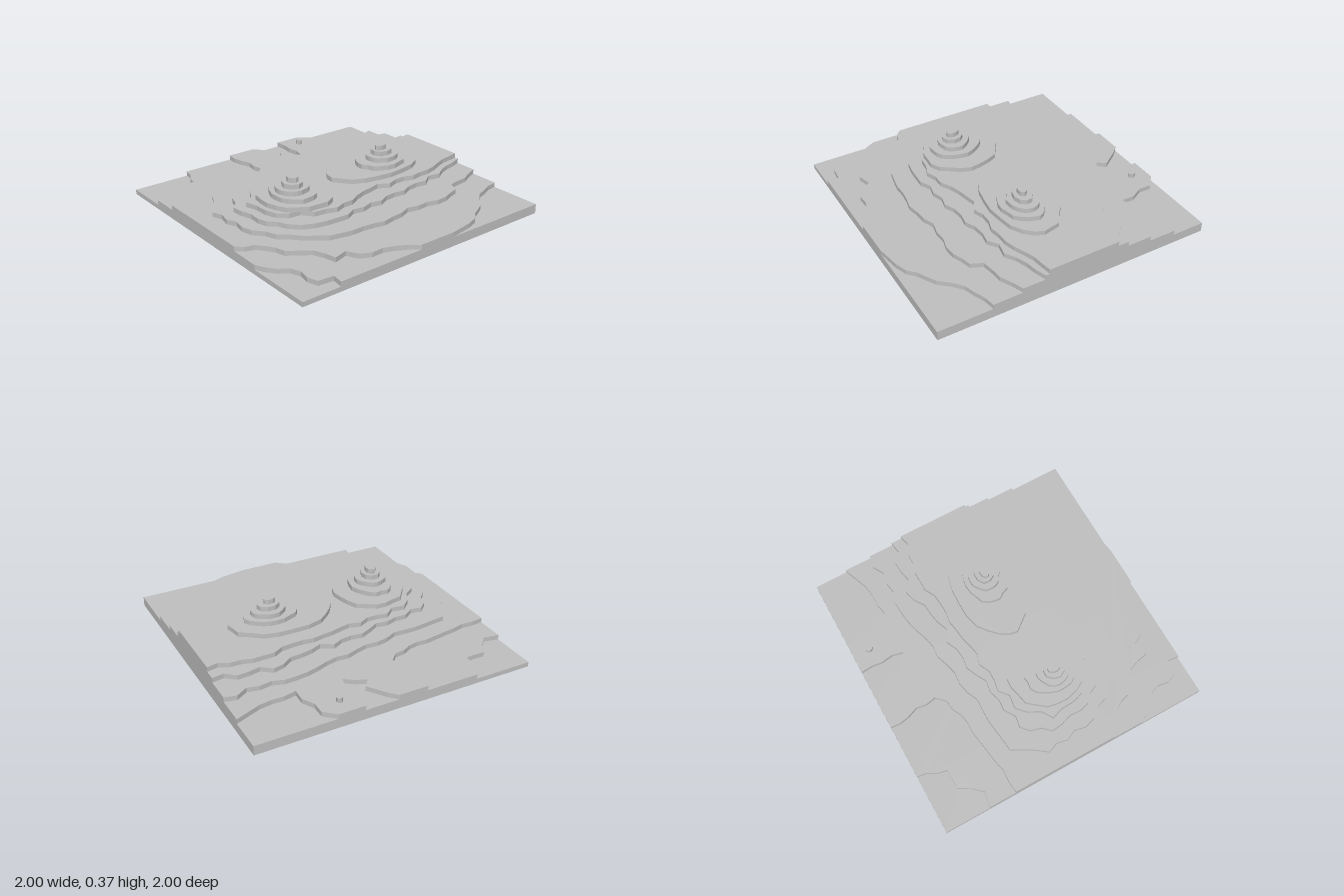
import * as THREE from 'three';

const STEP = 0.0336; // height of one terrace

// Small seeded generator, -1 to 1, for the ragged contour edges
let seed = 7;
function wobble() {
  seed = (seed * 16807) % 2147483647;
  return (seed / 2147483647) * 2 - 1;
}

const clamp = (v) => Math.max(-1, Math.min(1, v));

// Breaks the inland sides of an outline into ragged pieces; sides on the rim stay straight
function ragged(points, amount) {
  const result = [];
  points.forEach(([x, z], i) => {
    const [nx, nz] = points[(i + 1) % points.length];
    const length = Math.hypot(nx - x, nz - z);
    const onRim = (x === nx && Math.abs(x) === 1) || (z === nz && Math.abs(z) === 1);
    const pieces = onRim ? 1 : Math.max(1, Math.round(length / 0.08));
    result.push([x, z]);
    for (let k = 1; k < pieces; k++) {
      const t = k / pieces;
      const push = (wobble() * amount) / length;
      result.push([clamp(x + (nx - x) * t - (nz - z) * push), clamp(z + (nz - z) * t + (nx - x) * push)]);
    }
  });
  return result;
}

// Plain: a freely drawn outline
function plain(pairs) {
  return ragged(pairs, 0.02);
}

// Ridge: evenly spaced rows from the back rim to lastRow, closed by a blunt end
function ridge(lastRow, end, left, right) {
  const z = (i) => -1 + (i * (lastRow + 1)) / (left.length - 1);
  const l = left.at(-1);
  const width = right.at(-1) - l;
  return ragged([
    ...right.map((x, i) => [x, z(i)]),
    [l + width * 0.7, end - 0.03], [l + width * 0.3, end],
    ...left.map((x, i) => [x, z(i)]).reverse(),
  ], 0.03);
}

// Knoll: a slightly uneven oval
function knoll(cx, cz, rx, rz) {
  const count = rx > 0.1 ? 22 : 9;
  return Array.from({ length: count }, (_, i) => {
    const angle = (i / count) * Math.PI * 2;
    const r = 1 + wobble() * 0.05;
    return [cx + Math.cos(angle) * rx * r, cz + Math.sin(angle) * rz * r];
  });
}

// Each terrace, from the ground up
const terraces = {
  baseSlab: [plain([[-1, -1], [1, -1], [1, 1], [-1, 1]])],
  lowlandTerrace: [plain([
    [-1, -1], [1, -1], [1, 0.72], [0.92, 0.71], [0.91, 0.82], [0.76, 0.83], [0.52, 1],
    [-0.67, 1], [-0.65, 0.89], [-0.8, 0.78], [-0.8, 0.64], [-1, 0.58],
  ])],
  plainTerrace: [plain([
    [-0.76, -1], [0.62, -1], [0.69, -0.77], [0.82, -0.64], [0.94, -0.46], [1, -0.2],
    [1, 0.08], [0.91, 0.22], [0.85, 0.46], [0.77, 0.5], [0.8, 0.6], [0.64, 0.65], [0.54, 0.79], [0.36, 0.89], [0.3, 1],
    [-0.47, 1], [-0.53, 0.5], [-0.58, 0.22], [-0.64, 0.16], [-1, 0.2],
    [-1, -0.01], [-0.82, -0.15], [-0.76, -0.1], [-0.68, -0.24], [-1, -0.25],
    [-1, -0.44], [-0.93, -0.52], [-0.66, -0.56], [-0.69, -0.82],
  ])],
  foothillTerrace: [
    ridge(0.74, 0.88, [-0.56, -0.55, -0.56, -0.5, -0.46, -0.43, -0.4, -0.37],
      [0.41, 0.49, 0.63, 0.62, 0.64, 0.63, 0.6, 0.38]),
    knoll(-0.88, -0.37, 0.025, 0.02),
  ],
  lowerSlopeTerrace: [ridge(0.64, 0.77, [-0.38, -0.42, -0.44, -0.37, -0.35, -0.32, -0.27, -0.24],
    [0.25, 0.32, 0.4, 0.43, 0.46, 0.45, 0.48, 0.36])],
  saddleTerrace: [ridge(0.58, 0.7, [-0.3, -0.32, -0.34, -0.29, -0.28, -0.27, -0.25, -0.15],
    [0.22, 0.27, 0.32, 0.31, 0.31, 0.39, 0.39, 0.3])],
  hillTerrace: [knoll(0.04, -0.33, 0.22, 0.38), knoll(0.1, 0.39, 0.27, 0.25)],
  upperHillTerrace: [knoll(0.06, -0.4, 0.15, 0.19), knoll(0.12, 0.42, 0.18, 0.155)],
  shoulderTerrace: [knoll(0.06, -0.41, 0.105, 0.125), knoll(0.13, 0.43, 0.11, 0.11)],
  peakTerrace: [knoll(0.06, -0.41, 0.065, 0.08), knoll(0.135, 0.435, 0.075, 0.07)],
  summitTerrace: [knoll(0.06, -0.4, 0.03, 0.045), knoll(0.135, 0.435, 0.048, 0.036)],
};

export function createModel() {
  const model = new THREE.Group();
  model.name = 'terracedTerrain';
  const stone = new THREE.MeshStandardMaterial({ color: 0xc0c0c0 });
  stone.name = 'plain grey';

  // Flat slabs, each resting on the one below
  Object.entries(terraces).forEach(([name, outlines], level) => {
    const shapes = outlines.map((points) => new THREE.Shape(points.map(([x, z]) => new THREE.Vector2(x, -z))));
    const geometry = new THREE.ExtrudeGeometry(shapes, { depth: STEP, bevelEnabled: false });
    geometry.rotateX(-Math.PI / 2);
    const slab = new THREE.Mesh(geometry, stone);
    slab.name = name;
    slab.position.y = level * STEP;
    model.add(slab);
  });
  return model;
}
